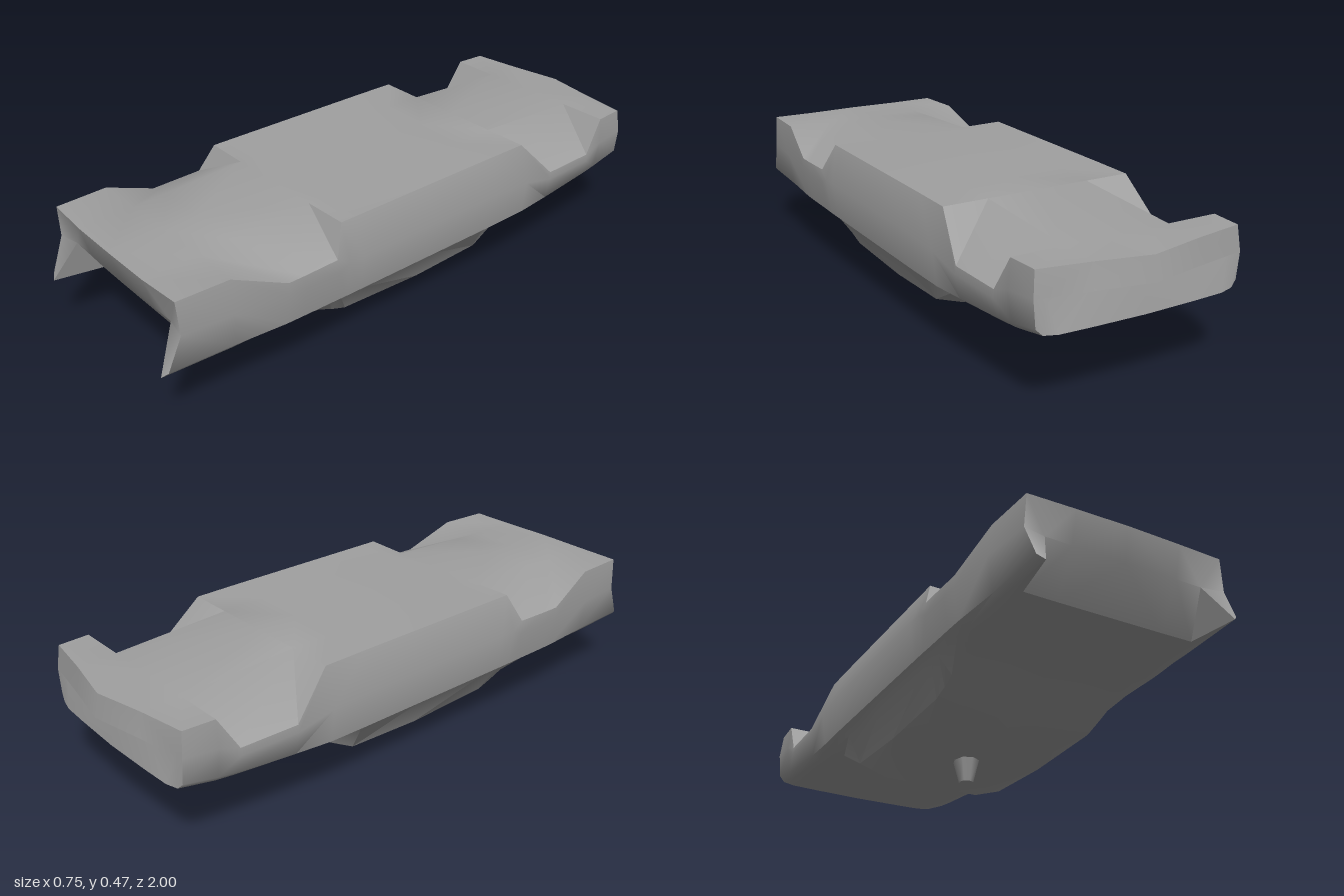
import * as THREE from 'three';
import { toCreasedNormals } from 'three/addons/utils/BufferGeometryUtils.js';

const grey = new THREE.MeshStandardMaterial({ color: 0xa0a0a0 });
grey.name = 'body grey';

// Each row is one station from front to back:
// inner z, inner top y, edge z, edge x, edge y, side x, side y, belt y, shoulder y, keel y
const STATIONS = [
  [0.77, 0.45, 0.77, 0.345, 0.45, 0.36, 0.34, 0.207, 0.205, 0.205],
  [0.77, 0.45, 0.59, 0.37, 0.372, 0.372, 0.33, 0.205, 0.203, 0.203],
  [0.65, 0.456, 0.53, 0.371, 0.373, 0.373, 0.33, 0.205, 0.2, 0.2],
  [0.365, 0.47, 0.41, 0.371, 0.376, 0.374, 0.33, 0.205, 0.15, 0.146],
  [0.365, 0.47, 0.365, 0.335, 0.472, 0.375, 0.35, 0.205, 0.13, 0.125],
  [0.31, 0.471, 0.31, 0.335, 0.472, 0.375, 0.35, 0.205, 0.112, 0.098],
  [0, 0.472, 0, 0.335, 0.472, 0.375, 0.35, 0.205, 0.1, 0.076],
  [-0.27, 0.472, -0.27, 0.335, 0.472, 0.375, 0.35, 0.205, 0.11, 0.077],
  [-0.42, 0.471, -0.42, 0.335, 0.471, 0.373, 0.34, 0.205, 0.195, 0.19],
  [-0.42, 0.471, -0.55, 0.365, 0.335, 0.368, 0.31, 0.213, 0.208, 0.205],
  [-0.82, 0.45, -0.75, 0.36, 0.335, 0.362, 0.31, 0.232, 0.229, 0.227],
  [-0.82, 0.45, -0.82, 0.352, 0.45, 0.36, 0.36, 0.241, 0.238, 0.237],
];

// Half section from the top centre, round the side, to the bottom centre
function section([zi, yi, z, ex, ey, w, sy, belt, shoulder, keel]) {
  return [
    [0, yi, zi], [0.18, yi, zi], [ex, ey, z], [w, sy, z],
    [w - 0.016, belt + 0.018, z], [0.327, belt, z],
    [0.28, shoulder, z], [0.18, keel, z], [0, keel, z],
  ];
}

const NOSE = [
  [0, 0.447, 0.955], [0.18, 0.446, 0.953], [0.337, 0.449, 0.945], [0.345, 0.34, 0.94],
  [0.338, 0.23, 0.985], [0.318, 0.21, 1], [0.29, 0.207, 0.84], [0.18, 0.206, 0.84], [0, 0.206, 0.84],
];
const TAIL = [
  [0, 0.445, -0.985], [0.18, 0.448, -0.95], [0.345, 0.45, -0.925], [0.353, 0.37, -0.935],
  [0.345, 0.285, -0.935], [0.325, 0.265, -0.94], [0.28, 0.262, -0.95], [0.18, 0.262, -0.955], [0, 0.262, -0.96],
];

// Joins rows of points into a surface and mirrors it, skipping collapsed triangles
function mirroredGrid(positions, rows, flip) {
  const v = (p) => new THREE.Vector3(...p);
  const triangle = (a, b, c) => {
    const area = v(b).sub(v(a)).cross(v(c).sub(v(a))).length();
    if (area < 1e-7) return;
    const [p, q, r] = flip ? [a, c, b] : [a, b, c];
    positions.push(...p, ...q, ...r);
    for (const [x, y, z] of [p, r, q]) positions.push(-x, y, z);
  };
  for (let i = 0; i < rows.length - 1; i++) {
    for (let j = 0; j < rows[i].length - 1; j++) {
      const a = rows[i][j], b = rows[i][j + 1], c = rows[i + 1][j + 1], d = rows[i + 1][j];
      triangle(a, b, c);
      triangle(a, c, d);
    }
  }
}

function bodyGeometry() {
  const positions = [];
  // Long shell with the four sloping wheel cut-outs
  mirroredGrid(positions, [NOSE, ...STATIONS.map(section), TAIL], false);

  // Nose face, slanting back between the two pointed corners
  const n = NOSE;
  mirroredGrid(positions, [
    [n[0], n[1], n[2], n[2], n[2]],
    [[0, 0.342, 0.925], [0.18, 0.342, 0.925], [0.27, 0.342, 0.925], n[3], n[3]],
    [n[8], n[7], n[6], n[5], n[4]],
  ], true);

  // Tail face with a pointed bumper over a recessed panel
  const t = TAIL;
  mirroredGrid(positions, [
    [t[0], t[1], t[2], t[2], t[2]],
    [[0, 0.37, -1], [0.18, 0.37, -0.965], t[3], t[3], t[3]],
    [[0, 0.36, -0.945], [0.18, 0.36, -0.935], [0.31, 0.365, -0.925], t[3], t[3]],
    [t[8], t[7], t[6], t[5], t[4]],
  ], false);

  const geometry = new THREE.BufferGeometry();
  geometry.setAttribute('position', new THREE.Float32BufferAttribute(positions, 3));
  return toCreasedNormals(geometry, 0.8);
}

export function createModel() {
  const model = new THREE.Group();
  model.name = 'carShell';

  const body = new THREE.Mesh(bodyGeometry(), grey);
  body.name = 'body';
  model.add(body);

  // Tapered peg beneath the cabin
  const peg = new THREE.Mesh(new THREE.CylinderGeometry(0.046, 0.025, 0.08, 8), grey);
  peg.name = 'peg';
  peg.position.set(0, 0.04, -0.01);
  model.add(peg);

  return model;
}
